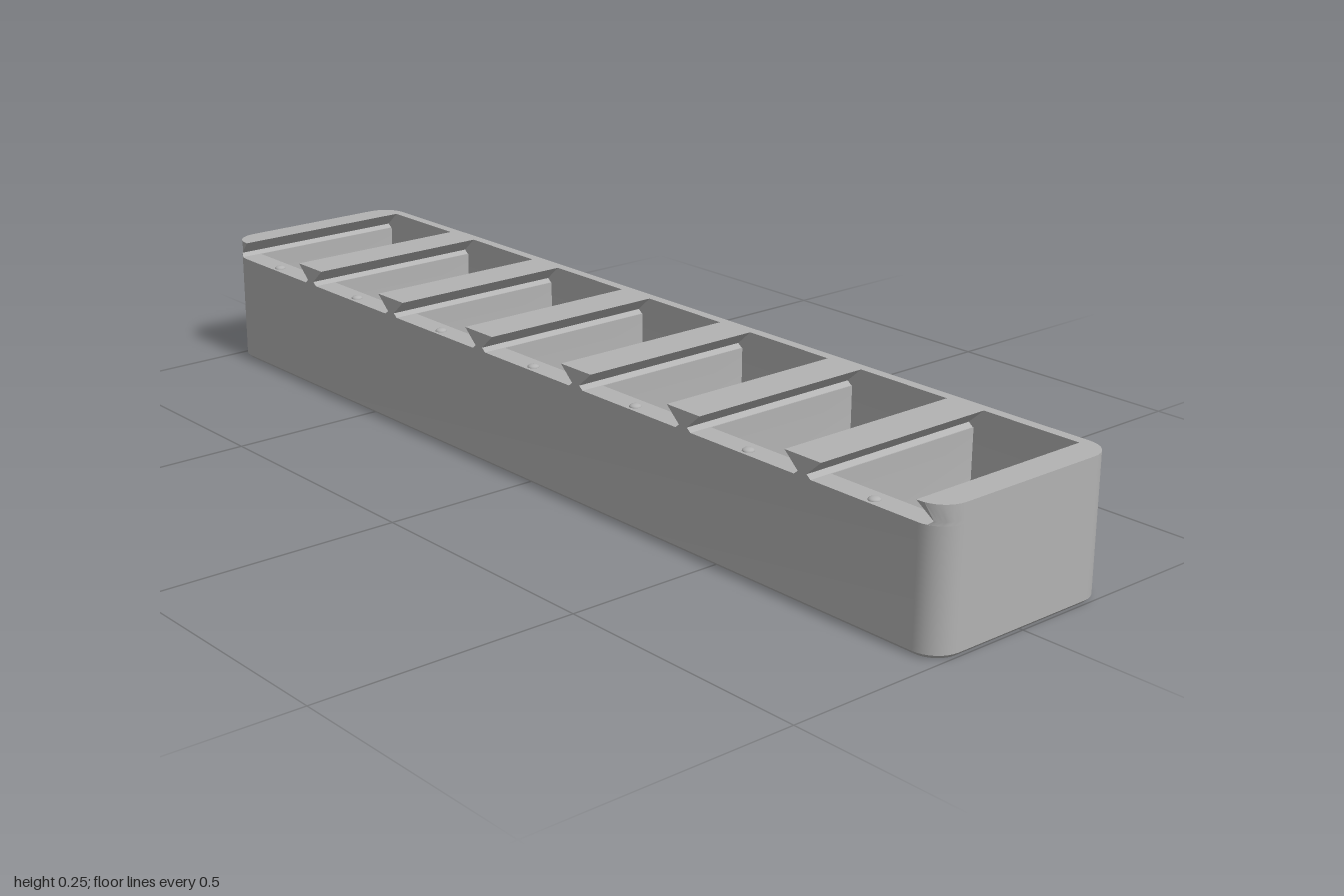
import * as THREE from 'three';
import { toCreasedNormals } from 'three/addons/utils/BufferGeometryUtils.js';

const X = 1, Z = 0.2, R = 0.05, H = 0.254;      // half length, half depth, corner radius, height
const SLOT_Y = 0.219, BACK = -0.18, FRONT = 0.155; // lid slot floor, compartment back and front
const COUNT = 7, PITCH = 0.2815, SEG = 8;
const centres = Array.from({ length: COUNT }, (_, i) => (i - (COUNT - 1) / 2) * PITCH);

// Arc of points (x, z) about a corner centre
function arc(cx, cz, r, a0, a1) {
  return Array.from({ length: SEG + 1 }, (_, i) => {
    const a = a0 + (a1 - a0) * i / SEG;
    return [cx + r * Math.cos(a), cz + r * Math.sin(a)];
  });
}

// Rounded outline; frontAngle trims the two front corners
function outline(inset = 0, frontAngle = Math.PI / 2) {
  const cx = X - R, cz = Z - R, r = R - inset, q = Math.PI / 2;
  return [
    ...arc(cx, cz, r, frontAngle, 0), ...arc(cx, -cz, r, 0, -q),
    ...arc(-cx, -cz, r, -q, -2 * q), ...arc(-cx, cz, r, Math.PI, Math.PI - frontAngle),
  ];
}

// Outline of the rails with seven slots of half width w open to the front
function comb(w) {
  const end = centres[COUNT - 1] + w;
  const angle = Math.acos(Math.max(0, (end - (X - R)) / R));
  const zEnd = Z - R + R * Math.sin(angle);
  const pts = outline(0, angle);
  centres.forEach((c, i) => pts.push(
    [c - w, i === 0 ? zEnd : Z], [c - w, BACK],
    [c + w, BACK], [c + w, i === COUNT - 1 ? zEnd : Z]));
  return pts;
}

// Compartment rectangle, inset evenly
function rect(c, inset) {
  const w = 0.12 - inset, f = FRONT - inset, b = BACK + inset;
  return [[c - w, f], [c + w, f], [c + w, b], [c - w, b]];
}

// Side surface through matching rings; rings listed downwards face inwards
function loft(rings) {
  const pos = [], idx = [], n = rings[0].pts.length;
  rings.forEach(({ y, pts }) => pts.forEach(([x, z]) => pos.push(x, y, z)));
  for (let k = 0; k < rings.length - 1; k++) for (let i = 0; i < n; i++) {
    const a = k * n + i, b = k * n + (i + 1) % n;
    idx.push(a, b, b + n, a, b + n, a + n);
  }
  const g = new THREE.BufferGeometry();
  g.setAttribute('position', new THREE.Float32BufferAttribute(pos, 3));
  g.setIndex(idx);
  return toCreasedNormals(g, 0.5);
}

// Flat upward face at height y
function cap(pts, y, holes = []) {
  const v = list => list.map(([x, z]) => new THREE.Vector2(x, -z));
  const s = new THREE.Shape(v(pts));
  holes.forEach(h => s.holes.push(new THREE.Path(v(h))));
  return new THREE.ShapeGeometry(s).rotateX(-Math.PI / 2).translate(0, y, 0);
}

export function createModel() {
  const model = new THREE.Group();
  model.name = 'compartmentBox';
  const grey = new THREE.MeshStandardMaterial({ color: 0xb2b2b2 });
  grey.name = 'grey plastic';
  const add = (name, geometry) => {
    const m = new THREE.Mesh(geometry, grey);
    m.name = name;
    model.add(m);
    return m;
  };

  // Outer shell with a small chamfer at the base
  add('outerWall', loft([
    { y: 0, pts: outline(0.007) }, { y: 0.007, pts: outline() }, { y: SLOT_Y, pts: outline() },
  ]));
  add('base', cap(outline(0.007), 0).rotateX(Math.PI));
  add('slotFloor', cap(outline(), SLOT_Y, centres.map(c => rect(c, 0))));

  // Dovetail rails that hold sliding lids
  add('rails', loft([
    { y: SLOT_Y, pts: comb(0.122) }, { y: 0.226, pts: comb(0.131) }, { y: H, pts: comb(0.1) },
  ]));
  add('rim', cap(comb(0.1), H));

  // Compartments with rounded floor edges, and a catch bump in front of each
  const floorY = 0.02, fillet = 0.03;
  for (const c of centres) {
    const rings = [{ y: SLOT_Y, pts: rect(c, 0) }];
    for (let i = 0; i <= 6; i++) {
      const a = i / 6 * Math.PI / 2;
      rings.push({
        y: floorY + fillet * (1 - Math.sin(a)),
        pts: rect(c, fillet * (1 - Math.cos(a))),
      });
    }
    add('compartmentWall', loft(rings));
    add('compartmentFloor', cap(rect(c, fillet), floorY));
    const bump = add('lidCatch', new THREE.SphereGeometry(0.011, 16, 6, 0, Math.PI * 2, 0, Math.PI / 2));
    bump.scale.y = 0.5;
    bump.position.set(c, SLOT_Y, 0.183);
  }
  return model;
}
